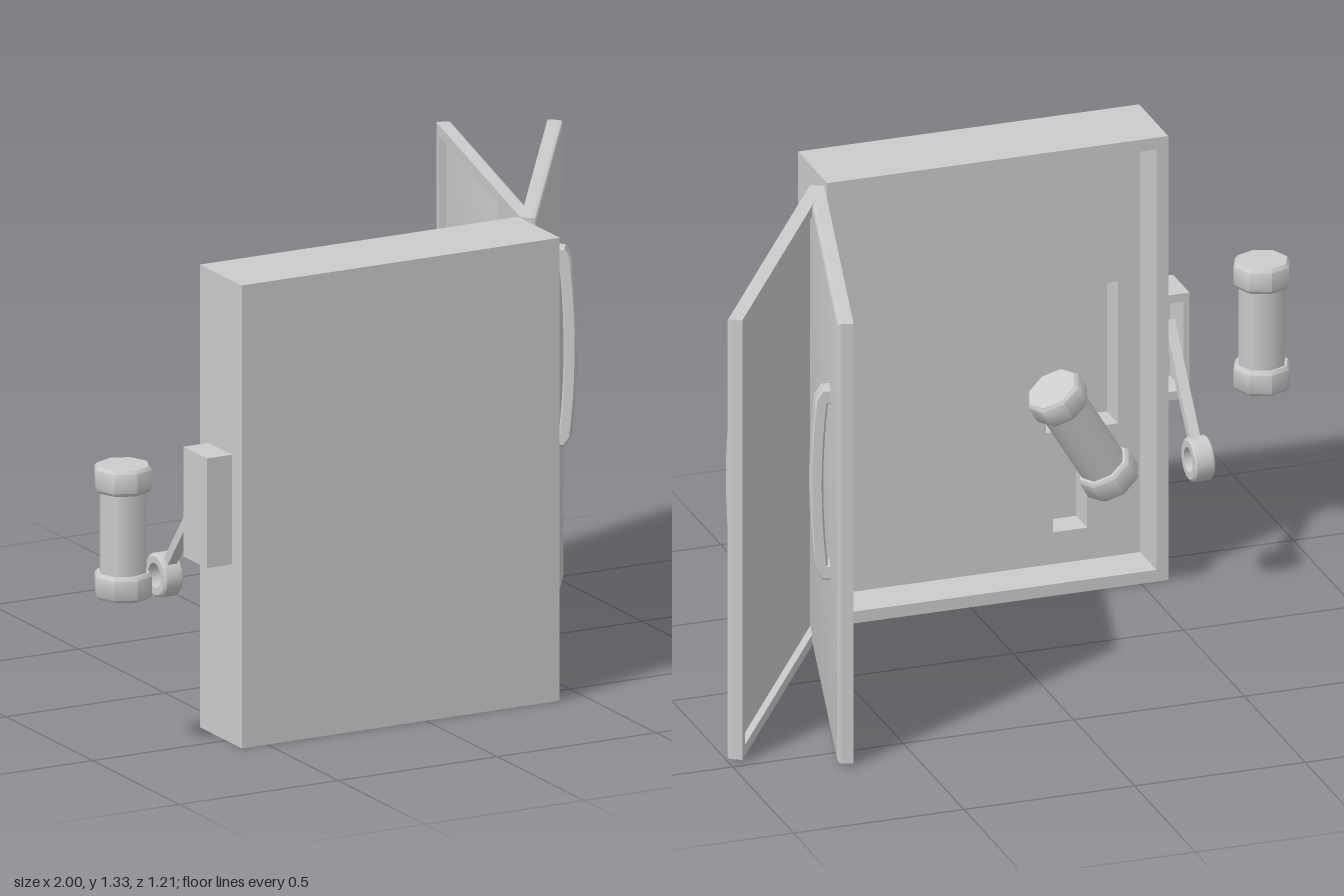
import * as THREE from 'three';
import { toCreasedNormals } from 'three/addons/utils/BufferGeometryUtils.js';

const grey = new THREE.MeshStandardMaterial({ color: 0xcccccc });

function add(parent, name, geometry) {
  const mesh = new THREE.Mesh(geometry, grey);
  mesh.name = name;
  parent.add(mesh);
  return mesh;
}

function rect(Path, x0, x1, y0, y1) {
  return new Path([[x0, y0], [x1, y0], [x1, y1], [x0, y1]].map(p => new THREE.Vector2(...p)));
}

// Rectangular plate from z0 to z1 with rectangular holes cut through it
function plate([x0, x1, y0, y1], z0, z1, holes = []) {
  const shape = rect(THREE.Shape, x0, x1, y0, y1);
  shape.holes = holes.map(h => rect(THREE.Path, ...h));
  return new THREE.ExtrudeGeometry(shape, { depth: z1 - z0, bevelEnabled: false }).translate(0, 0, z0);
}

function inset([x0, x1, y0, y1], d) {
  return [x0 + d, x1 - d, y0 + d, y1 - d];
}

// Octagonal cartridge with a capped end at top and bottom, centred on its origin
function createFuse(name) {
  const fuse = new THREE.Group();
  fuse.name = name;
  add(fuse, 'fuseBody', new THREE.CylinderGeometry(0.068, 0.068, 0.26, 8));
  const profile = [[0, 0], [0.074, 0], [0.083, 0.009], [0.083, 0.064], [0.075, 0.074], [0, 0.074]];
  for (const side of [-1, 1]) {
    const cap = new THREE.LatheGeometry(profile.map(p => new THREE.Vector2(...p)), 8);
    const mesh = add(fuse, 'fuseCap', toCreasedNormals(cap, 0.82));
    mesh.position.y = -0.19;
    if (side > 0) {
      mesh.rotation.x = Math.PI;
      mesh.position.y = 0.19;
    }
  }
  return fuse;
}

// Bowed pull handle: side profile (distance from door, height) given a width
function handleGeometry() {
  const s = new THREE.Shape();
  s.moveTo(0, -0.28);
  s.lineTo(0.022, -0.28);
  s.lineTo(0.038, -0.255);
  s.quadraticCurveTo(0.068, 0, 0.038, 0.255);
  s.lineTo(0.022, 0.28);
  s.lineTo(0, 0.28);
  s.lineTo(0, 0.245);
  s.lineTo(0.014, 0.245);
  s.quadraticCurveTo(0.04, 0, 0.014, -0.245);
  s.lineTo(0, -0.245);
  s.closePath();
  const geo = new THREE.ExtrudeGeometry(s, {
    depth: 0.042, curveSegments: 10, bevelThickness: 0.006, bevelSize: 0.005, bevelSegments: 1,
  });
  geo.translate(0, 0, -0.021).rotateY(-Math.PI / 2);
  return toCreasedNormals(geo, 0.6);
}

// Door: x runs away from the hinge, z points out of the outer face
function createDoor(name, angle) {
  const door = new THREE.Group();
  door.name = name;
  const size = [0, 0.985, 0.008, 1.325];
  add(door, 'doorRim', plate(size, 0, 0.022, [inset(size, 0.032)]));
  const bevel = 0.012;
  const panel = new THREE.ExtrudeGeometry(rect(THREE.Shape, ...inset(size, bevel)), {
    depth: 0.001, bevelThickness: bevel, bevelSize: bevel, bevelSegments: 3,
  });
  add(door, 'doorPanel', toCreasedNormals(panel.translate(0, 0, 0.032), 0.6));
  add(door, 'doorBacking', plate(size, 0.02, 0.033));
  add(door, 'doorHandle', handleGeometry()).position.set(0.735, 0.75, 0.043);
  door.position.set(0.43, 0, 0.346);
  door.rotation.y = angle;
  return door;
}

export function createModel() {
  const model = new THREE.Group();
  model.name = 'fuseBox';

  // Cabinet, open towards -z, with two recesses in its inner panel
  const cabinet = new THREE.Group();
  cabinet.name = 'cabinet';
  const size = [-0.58, 0.42, 0, 1.33];
  add(cabinet, 'cabinetWalls', plate(size, 0.35, 0.485, [inset(size, 0.035)]));
  add(cabinet, 'innerPanel', plate(size, 0.485, 0.575, [
    [-0.48, -0.27, 0.43, 0.855],
    [-0.39, -0.29, 0.13, 0.32],
  ]));
  add(cabinet, 'cabinetFace', plate(size, 0.575, 0.59));
  model.add(cabinet);

  // Two leaves sharing one hinge line
  model.add(createDoor('outerDoor', THREE.MathUtils.degToRad(57.1)));
  model.add(createDoor('innerDoor', THREE.MathUtils.degToRad(75.1)));

  // Switch on the side: slotted housing, arm and ring grip
  const lever = new THREE.Group();
  lever.name = 'sideSwitch';
  const housing = [-0.66, -0.58, 0.515, 0.83];
  add(lever, 'switchHousing', plate(housing, 0.4, 0.51, [[-0.642, -0.598, 0.54, 0.805]]));
  add(lever, 'switchHousingBack', plate(housing, 0.51, 0.535));
  const tilt = Math.atan2(0.255, 0.328);
  const arm = add(lever, 'switchArm', new THREE.BoxGeometry(0.03, 0.35, 0.026));
  arm.position.set(-0.62, 0.412 + 0.225 * Math.cos(tilt), 0.215 + 0.225 * Math.sin(tilt));
  arm.rotation.x = tilt;
  const ringProfile = [[0.036, -0.03], [0.056, -0.03], [0.063, -0.024], [0.063, 0.024],
    [0.056, 0.03], [0.036, 0.03], [0.036, -0.03]];
  const ring = new THREE.LatheGeometry(ringProfile.map(p => new THREE.Vector2(...p)), 16);
  const grip = add(lever, 'switchRing', toCreasedNormals(ring, 0.6));
  grip.rotation.z = Math.PI / 2;
  grip.position.set(-0.62, 0.412, 0.215);
  model.add(lever);

  // One loose upright fuse, one tilted in front of the cabinet opening
  const upright = createFuse('uprightFuse');
  upright.position.set(-0.915, 0.655, 0.52);
  model.add(upright);
  const tilted = createFuse('tiltedFuse');
  tilted.position.set(-0.305, 0.5, 0.28);
  tilted.quaternion.setFromUnitVectors(
    new THREE.Vector3(0, 1, 0), new THREE.Vector3(0.52, 0.85, -0.1).normalize());
  model.add(tilted);

  return model;
}
